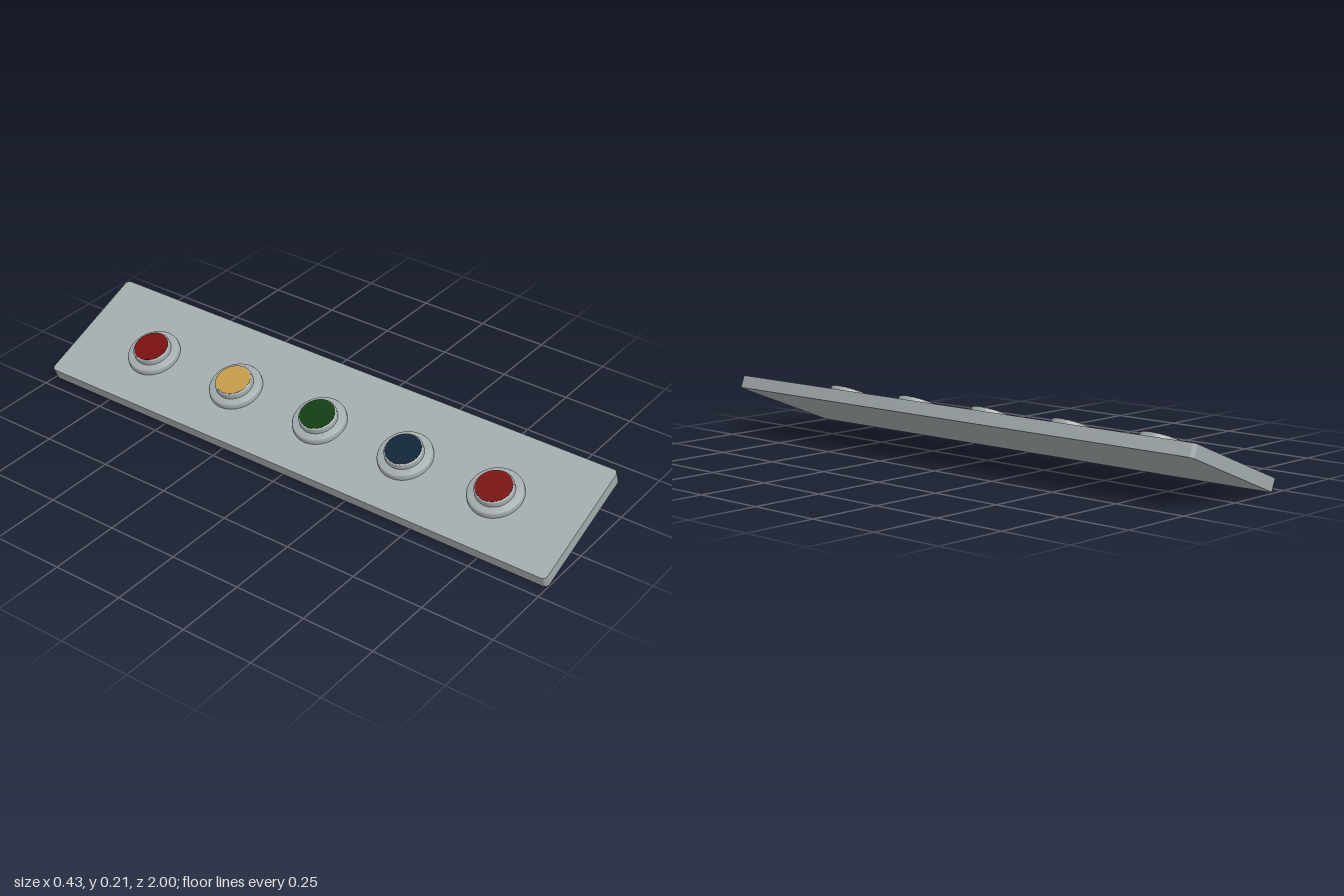
import * as THREE from 'three';
import { toCreasedNormals } from 'three/addons/utils/BufferGeometryUtils.js';

const mat = (name, color) => {
  const m = new THREE.MeshStandardMaterial({ color });
  m.name = name;
  return m;
};

// Disc with a softly rounded top rim, standing on y = 0
function roundedDisc(radius, height, bevel) {
  const pts = [new THREE.Vector2(radius, 0)];
  for (let i = 0; i <= 4; i++) {
    const a = (i / 4) * Math.PI / 2;
    pts.push(new THREE.Vector2(
      radius - bevel + bevel * Math.cos(a),
      height - bevel + bevel * Math.sin(a)));
  }
  pts.push(new THREE.Vector2(0, height));
  return toCreasedNormals(new THREE.LatheGeometry(pts, 48), 0.6);
}

// Flat panel with rounded corners, its underside on y = 0
function panelGeometry(width, length, thickness, r) {
  const w = width / 2, l = length / 2;
  const s = new THREE.Shape();
  s.absarc(w - r, l - r, r, 0, Math.PI / 2);
  s.absarc(-w + r, l - r, r, Math.PI / 2, Math.PI);
  s.absarc(-w + r, -l + r, r, Math.PI, Math.PI * 1.5);
  s.absarc(w - r, -l + r, r, Math.PI * 1.5, Math.PI * 2);
  const g = new THREE.ExtrudeGeometry(s, { depth: thickness, bevelEnabled: false, curveSegments: 6 });
  g.rotateX(-Math.PI / 2);
  return toCreasedNormals(g, 0.6);
}

export function createModel() {
  const model = new THREE.Group();
  model.name = 'buttonPanel';
  const grey = mat('grey metal', 0xa3abad);
  const red = mat('red', 0x780f10);
  const yellow = mat('yellow', 0xc59a4b);
  const green = mat('green', 0x0f3d11);
  const blue = mat('dark blue', 0x0e2438);

  // Everything is built flat, then tilted as one
  const tilted = new THREE.Group();
  tilted.name = 'tiltedPanel';
  tilted.position.y = 0.1035;
  tilted.rotation.z = Math.atan(0.4);
  model.add(tilted);

  const add = (parent, name, geometry, material, y) => {
    const mesh = new THREE.Mesh(geometry, material);
    mesh.name = name;
    mesh.position.y = y;
    parent.add(mesh);
  };

  add(tilted, 'plate', panelGeometry(0.445, 2, 0.044, 0.016), grey, -0.022);

  // Row of buttons: wide collar, raised housing, coloured face
  const collar = roundedDisc(0.092, 0.021, 0.009);
  const housing = roundedDisc(0.065, 0.0425, 0.006);
  const face = new THREE.CylinderGeometry(0.06, 0.06, 0.002, 48);
  const buttons = [[-0.69, red], [-0.33, yellow], [0.02, green], [0.36, blue], [0.7, red]];
  for (const [z, colour] of buttons) {
    const button = new THREE.Group();
    button.name = 'button';
    button.position.set(-0.015, 0.022, z);
    add(button, 'collar', collar, grey, 0);
    add(button, 'housing', housing, grey, 0);
    add(button, 'face', face, colour, 0.0425);
    tilted.add(button);
  }
  return model;
}
